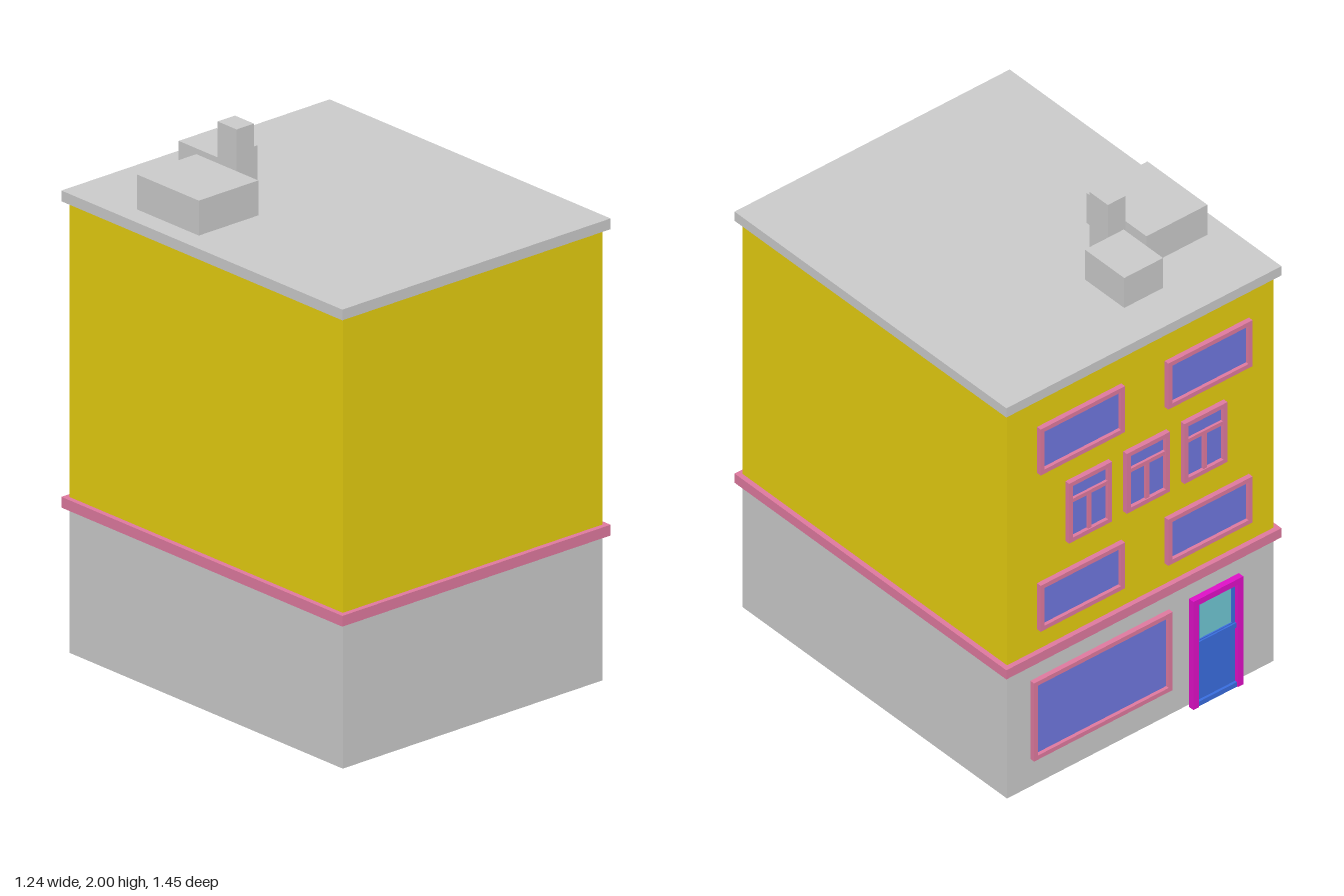
import * as THREE from 'three';

const mat = (color) => new THREE.MeshStandardMaterial({ color, side: THREE.DoubleSide });
const GREY = mat(0xcccccc), YELLOW = mat(0xe6ce10), PINK = mat(0xe07aa0), GLASS = mat(0x7078e0);
const MAGENTA = mat(0xe010c8), BLUE = mat(0x3a6ee0), TEAL = mat(0x70c8d4);
const WALL = -0.70; // rear wall plane

// Open rectangular shell through rings given as [overhang, y]
function shell(name, material, rings, capped = false) {
  const corners = rings.map(([o, y]) => {
    const x = 0.6 + o, f = 0.71 + o, b = WALL - o;
    return [[-x, y, f], [x, y, f], [x, y, b], [-x, y, b]];
  });
  const pos = [];
  const quad = (a, b, c, d) => pos.push(...a, ...b, ...c, ...a, ...c, ...d);
  for (let i = 0; i < rings.length - 1; i++) {
    for (let k = 0; k < 4; k++) {
      const n = (k + 1) % 4;
      quad(corners[i][k], corners[i][n], corners[i + 1][n], corners[i + 1][k]);
    }
  }
  if (capped) quad(...corners[corners.length - 1]);
  const geo = new THREE.BufferGeometry();
  geo.setAttribute('position', new THREE.Float32BufferAttribute(pos, 3));
  geo.computeVertexNormals();
  const mesh = new THREE.Mesh(geo, material);
  mesh.name = name;
  return mesh;
}

// Box from its extents
function box(name, material, x0, x1, y0, y1, z0, z1) {
  const mesh = new THREE.Mesh(new THREE.BoxGeometry(x1 - x0, y1 - y0, z1 - z0), material);
  mesh.position.set((x0 + x1) / 2, (y0 + y1) / 2, (z0 + z1) / 2);
  mesh.name = name;
  return mesh;
}

// Rectangular frame with a hole, standing out from the rear wall
function frame(name, material, x0, x1, y0, y1, t, depth) {
  const rect = (P, i) => new P([[x0 + i, y0 + i], [x1 - i, y0 + i], [x1 - i, y1 - i], [x0 + i, y1 - i]]
    .map((p) => new THREE.Vector2(...p)));
  const shape = rect(THREE.Shape, 0);
  shape.holes.push(rect(THREE.Path, t));
  const mesh = new THREE.Mesh(new THREE.ExtrudeGeometry(shape, { depth, bevelEnabled: false }), material);
  mesh.position.z = WALL - depth;
  mesh.name = name;
  return mesh;
}

function makeWindow(name, x0, x1, y0, y1, divided = false) {
  const g = new THREE.Group();
  g.name = name;
  g.add(frame('windowFrame', PINK, x0, x1, y0, y1, 0.018, 0.02));
  g.add(box('windowGlass', GLASS, x0 + 0.01, x1 - 0.01, y0 + 0.01, y1 - 0.01, WALL - 0.006, WALL));
  if (divided) {
    const xc = (x0 + x1) / 2, yt = y1 - 0.085;
    g.add(box('transom', PINK, x0 + 0.018, x1 - 0.018, yt - 0.008, yt + 0.008, WALL - 0.016, WALL));
    g.add(box('mullion', PINK, xc - 0.008, xc + 0.008, y0 + 0.018, yt - 0.008, WALL - 0.016, WALL));
  }
  return g;
}

function makeDoor() {
  const g = new THREE.Group();
  g.name = 'door';
  const x0 = -0.445, x1 = -0.22, t = 0.025;
  for (const x of [x0, x1 - t]) g.add(box('doorPost', MAGENTA, x, x + t, 0, 0.47, WALL - 0.024, WALL));
  g.add(box('doorLintel', MAGENTA, x0 + t, x1 - t, 0.47 - t, 0.47, WALL - 0.024, WALL));
  g.add(box('doorPanel', BLUE, x0 + t, x1 - t, 0.01, 0.265, WALL - 0.01, WALL));
  g.add(box('doorStep', BLUE, x0 + t, x1 - t, 0, 0.02, WALL - 0.02, WALL));
  g.add(box('doorRail', BLUE, x0 + t, x1 - t, 0.255, 0.275, WALL - 0.016, WALL));
  g.add(frame('doorLightFrame', BLUE, x0 + t, x1 - t, 0.265, 0.47 - t, 0.014, 0.01));
  g.add(box('doorGlass', TEAL, x0 + t + 0.01, x1 - t - 0.01, 0.27, 0.47 - t - 0.01, WALL - 0.005, WALL));
  return g;
}

export function createModel() {
  const model = new THREE.Group();
  model.name = 'townhouse';

  // Hollow body, open underneath
  model.add(shell('groundFloorWalls', GREY, [[0, 0.01], [0, 0.55]]));
  model.add(shell('stringCourse', PINK, [[0, 0.55], [0.02, 0.55], [0.02, 0.59], [0, 0.59]]));
  model.add(shell('upperWalls', YELLOW, [[0, 0.59], [0, 1.69]]));
  model.add(shell('roofSlab', GREY, [[0, 1.69], [0.02, 1.69], [0.02, 1.73]], true));

  // Rooftop blocks and chimney
  model.add(box('largeRoofBlock', GREY, -0.54, -0.265, 1.73, 1.86, -0.42, -0.10));
  model.add(box('smallRoofBlock', GREY, -0.23, -0.055, 1.73, 1.86, -0.55, -0.34));
  model.add(box('chimney', GREY, -0.24, -0.16, 1.73, 2.0, -0.338, -0.24));

  // Rear facade windows
  for (const y of [0.68, 1.36]) {
    model.add(makeWindow('wideWindow', 0.085, 0.465, y, y + 0.2));
    model.add(makeWindow('wideWindow', -0.49, -0.11, y, y + 0.2));
  }
  for (const x of [0.24, -0.02, -0.28]) {
    model.add(makeWindow('casementWindow', x - 0.097, x + 0.097, 1.0, 1.26, true));
  }
  model.add(makeWindow('shopWindow', -0.13, 0.495, 0.13, 0.47));
  model.add(makeDoor());
  return model;
}
